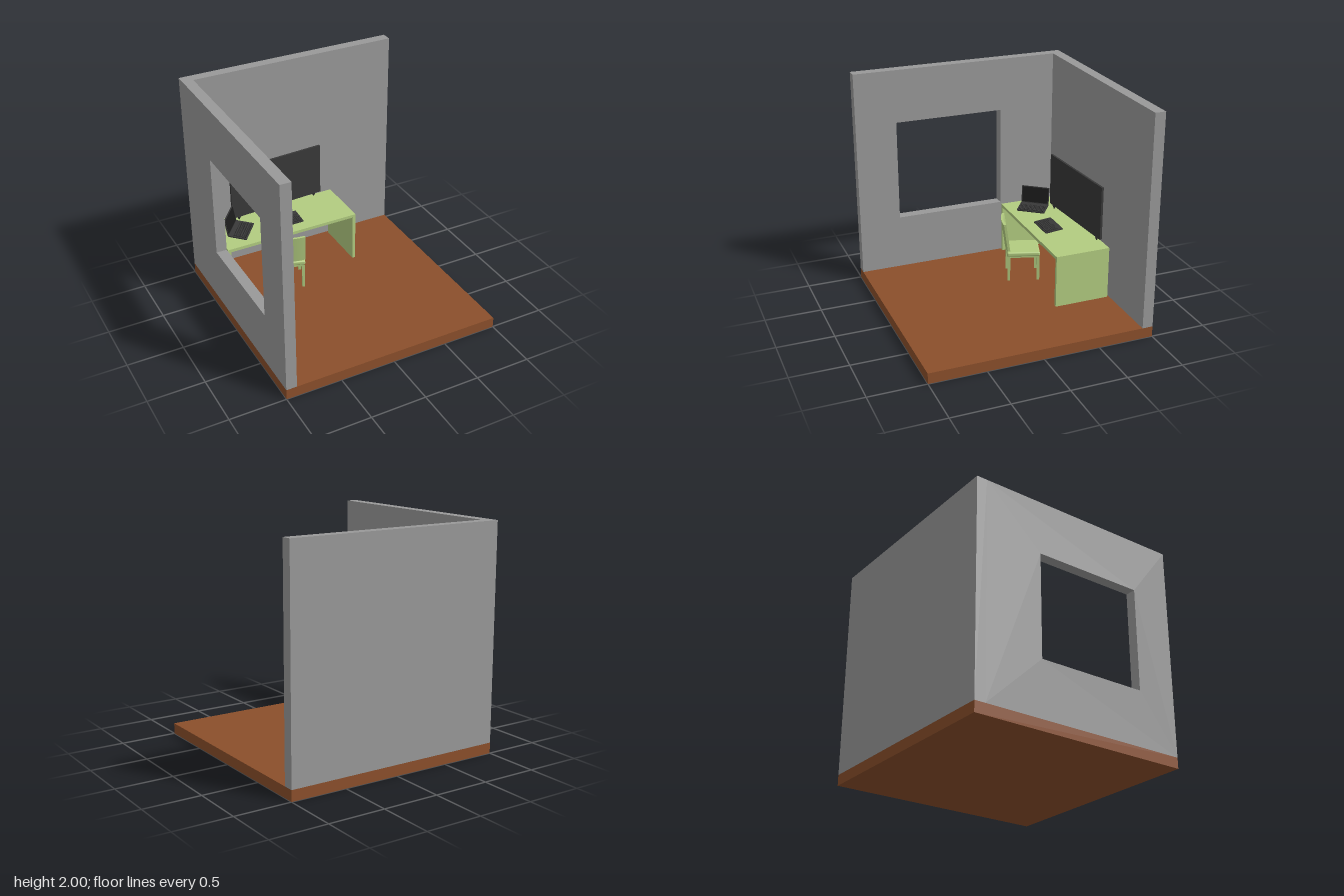
import * as THREE from 'three';
import { mergeGeometries } from 'three/addons/utils/BufferGeometryUtils.js';
import { RoundedBoxGeometry } from 'three/addons/geometries/RoundedBoxGeometry.js';

const mat = (color) => new THREE.MeshStandardMaterial({ color });
const wallMat = mat(0x999999), floorMat = mat(0x8b4f2b), greenMat = mat(0xb2cc80);
const darkMat = mat(0x383838), keyMat = mat(0x1c1c1c);

function add(parent, name, geometry, material, x = 0, y = 0, z = 0) {
  const mesh = new THREE.Mesh(geometry, material);
  mesh.name = name;
  mesh.position.set(x, y, z);
  parent.add(mesh);
  return mesh;
}

// box given by its minimum and maximum on each axis
function block(parent, name, material, x0, x1, y0, y1, z0, z1) {
  return add(parent, name, new THREE.BoxGeometry(x1 - x0, y1 - y0, z1 - z0), material,
    (x0 + x1) / 2, (y0 + y1) / 2, (z0 + z1) / 2);
}

function group(parent, name, x, y, z, turn = 0) {
  const g = new THREE.Group();
  g.name = name;
  g.position.set(x, y, z);
  g.rotation.y = turn;
  parent.add(g);
  return g;
}

const FLOOR = 0.095, WALL = -0.905, DESK_TOP = 0.575;

// side wall outline in (-z, y), with the window cut out, pushed through its thickness
function windowWall() {
  const rect = (T, a, b, c, d) => {
    const r = new T();
    r.moveTo(a, c); r.lineTo(b, c); r.lineTo(b, d); r.lineTo(a, d); r.closePath();
    return r;
  };
  const shape = rect(THREE.Shape, -1, -WALL, FLOOR, 2);
  shape.holes.push(rect(THREE.Path, -0.625, 0.38, 0.59, 1.515));
  const g = new THREE.ExtrudeGeometry(shape, { depth: 1 + WALL, bevelEnabled: false });
  return g.rotateY(Math.PI / 2);
}

// tilted slab with a block of keys; origin at the middle of its front lower edge
function keyboard(parent) {
  const deck = group(parent, 'keyboardDeck', 0, 0, 0);
  deck.rotation.x = 0.09;
  block(deck, 'keyboardBody', darkMat, -0.133, 0.133, 0, 0.012, -0.168, 0);
  block(deck, 'keyBed', keyMat, -0.118, 0.118, 0.011, 0.0128, -0.124, -0.012);
  const keys = [];
  const cols = 14, rows = 6, dx = 0.232 / cols, dz = 0.108 / rows;
  for (let r = 0; r < rows; r++) {
    for (let c = 0; c < cols; c++) {
      keys.push(new THREE.BoxGeometry(dx * 0.78, 0.004, dz * 0.78)
        .translate(-0.116 + dx * (c + 0.5), 0.0138, -0.122 + dz * (r + 0.5)));
    }
  }
  add(deck, 'keys', mergeGeometries(keys), darkMat);
}

function buildChair(parent) {
  const chair = group(parent, 'chair', -0.326, 0, -0.366, -0.32);
  add(chair, 'seat', new RoundedBoxGeometry(0.28, 0.042, 0.3, 4, 0.014), greenMat, 0, 0.356, 0);
  block(chair, 'seatFrame', greenMat, -0.133, 0.133, 0.322, 0.34, -0.147, 0.147);
  for (const sx of [-1, 1]) {
    for (const sz of [-1, 1]) {
      add(chair, 'chairLeg', new THREE.BoxGeometry(0.025, 0.235, 0.025), greenMat,
        sx * 0.121, FLOOR + 0.1175, sz * 0.134);
    }
  }
  // backrest: bowed across its width and leaning backwards
  const g = new THREE.BoxGeometry(0.28, 0.265, 0.022, 14, 1, 1);
  const p = g.attributes.position;
  for (let i = 0; i < p.count; i++) {
    const u = p.getX(i) / 0.14;
    p.setZ(i, p.getZ(i) + 0.018 * (1 - u * u) + 0.14 * p.getY(i));
  }
  g.computeVertexNormals();
  add(chair, 'backrest', g, greenMat, 0, 0.522, 0.151);
}

export function createModel() {
  const model = new THREE.Group();
  model.name = 'homeOffice';

  // room
  const room = group(model, 'room', 0, 0, 0);
  block(room, 'floor', floorMat, -1, 1, 0, FLOOR, -1, 1);
  block(room, 'backWall', wallMat, -1, 1, FLOOR, 2, -1, WALL);
  add(room, 'windowWall', windowWall(), wallMat, -1, 0, 0);

  // desk
  const desk = group(model, 'desk', 0, 0, 0);
  block(desk, 'deskTop', greenMat, -0.89, 0.38, 0.546, DESK_TOP, -0.89, -0.385);
  block(desk, 'deskSide', greenMat, -0.89, -0.862, FLOOR, 0.546, -0.89, -0.385);
  block(desk, 'deskSide', greenMat, 0.352, 0.38, FLOOR, 0.546, -0.89, -0.385);

  buildChair(model);

  // wide screen on two small tapered feet
  const screen = group(model, 'wideScreen', -0.2075, DESK_TOP, -0.836, 0.067);
  block(screen, 'screenPanel', darkMat, -0.465, 0.465, 0.03, 0.525, -0.01, 0.01);
  for (const s of [-1, 1]) {
    const foot = new THREE.CylinderGeometry(0.018, 0.005, 0.032, 8);
    add(screen, 'screenFoot', foot, darkMat, s * 0.395, 0.016, 0);
  }

  // separate keyboard
  keyboard(group(model, 'keyboard', -0.232, DESK_TOP, -0.497));

  // laptop: the same deck with a lid leaning back from its rear edge
  const laptop = group(model, 'laptop', -0.6, DESK_TOP, -0.5625, 0.905);
  keyboard(laptop);
  const lid = group(laptop, 'lid', 0, 0.022, -0.163);
  lid.rotation.x = -0.165;
  block(lid, 'lidPanel', darkMat, -0.133, 0.133, 0, 0.165, -0.009, 0);
  block(lid, 'lidScreen', keyMat, -0.125, 0.125, 0.012, 0.157, -0.001, 0.001);

  return model;
}
